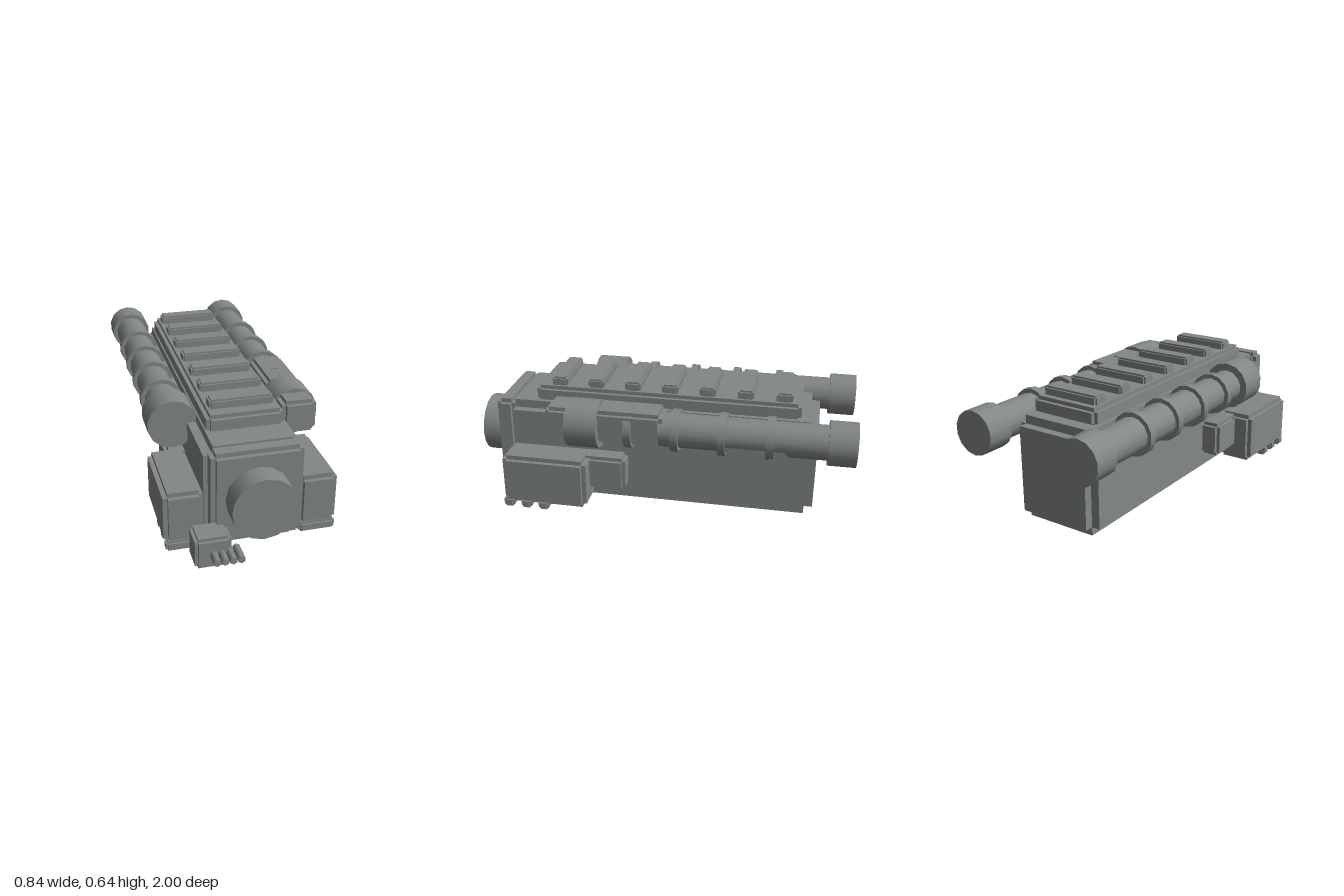
import * as THREE from 'three';

const color = 0x828885;
const flat = new THREE.MeshStandardMaterial({ color, flatShading: true });
const smooth = new THREE.MeshStandardMaterial({ color });

function add(parent, name, geometry, material, x, y, z) {
  const mesh = new THREE.Mesh(geometry, material);
  mesh.name = name;
  mesh.position.set(x, y, z);
  parent.add(mesh);
}

// Box with stepped edges: three crossed slabs, each long along one axis.
function steppedBox(parent, name, [x0, x1], [y0, y1], [z0, z1], step) {
  const group = new THREE.Group();
  group.name = name;
  group.position.set((x0 + x1) / 2, (y0 + y1) / 2, (z0 + z1) / 2);
  const size = [x1 - x0, y1 - y0, z1 - z0];
  for (let axis = 0; axis < 3; axis++) {
    const s = size.map((v, i) => (i === axis ? v : v - 2 * step));
    add(group, name + 'Slab', new THREE.BoxGeometry(...s), flat, 0, 0, 0);
  }
  parent.add(group);
}

// Smooth cylinder lying along z.
function tube(parent, name, radius, sides, x, y, z0, z1) {
  const geometry = new THREE.CylinderGeometry(radius, radius, z1 - z0, sides).rotateX(Math.PI / 2);
  add(parent, name, geometry, smooth, x, y, (z0 + z1) / 2);
}

export function createModel() {
  const model = new THREE.Group();
  model.name = 'model';

  // Main hull, front head plate and round nose
  steppedBox(model, 'hull', [-0.23, 0.23], [0, 0.515], [-0.82, 0.775], 0.043);
  steppedBox(model, 'headPlate', [-0.214, 0.214], [0.06, 0.516], [0.73, 0.828], 0.022);
  tube(model, 'nose', 0.152, 16, 0, 0.287, 0.8, 0.94);

  // Roof rail with seven cross ribs
  steppedBox(model, 'roofRail', [-0.183, 0.183], [0.505, 0.596], [-0.73, 0.615], 0.019);
  for (let i = 0; i < 7; i++) {
    const z = 0.497 - i * 0.19;
    steppedBox(model, 'roofRib', [-0.152, 0.152], [0.585, 0.638], [z - 0.04, z + 0.04], 0.009);
  }

  // Small connector block with four hexagonal pins
  steppedBox(model, 'connectorBlock', [-0.313, -0.147], [0.012, 0.165], [0.79, 0.932], 0.015);
  for (let i = 0; i < 4; i++) {
    tube(model, 'connectorPin', 0.018, 6, -0.231 + i * 0.0365, 0.087, 0.9, 1);
  }

  for (const side of [1, -1]) {
    const span = (a, b) => (side > 0 ? [a, b] : [-b, -a]);

    // Lower side pod, its rear block and feet
    steppedBox(model, 'sidePod', span(0.228, 0.416), [0.033, 0.294], [0.31, 0.745], 0.022);
    steppedBox(model, 'podRearBlock', span(0.17, 0.325), [0.105, 0.285], [0.127, 0.36], 0.018);
    for (const z of [0.725, 0.632, 0.54]) {
      steppedBox(model, 'podFoot', span(0.232, 0.41), [0, 0.05], [z - 0.027, z + 0.027], 0.01);
    }

    // Long side tube with end caps and clamp rings
    const x = side * 0.3, y = 0.47;
    tube(model, 'sideTube', 0.085, 14, x, y, -0.9, 0.3);
    tube(model, 'tubeFrontCap', 0.122, 14, x, y, 0.243, 0.405);
    tube(model, 'tubeRearCap', 0.108, 14, x, y, -1, -0.865);
    for (let i = 0; i < 4; i++) {
      const z = 0.095 - i * 0.23;
      tube(model, 'clampRing', 0.106, 14, x, y, z - 0.019, z + 0.019);
    }
  }

  // Long block running through the front of the left tube
  steppedBox(model, 'tubeBlock', [0.213, 0.383], [0.402, 0.57], [-0.075, 0.51], 0.02);

  // Bar and rounded catch under the rear of the left tube
  add(model, 'catchBar', new THREE.BoxGeometry(0.15, 0.026, 0.29), flat, 0.3, 0.421, -0.525);
  const roller = new THREE.CylinderGeometry(0.05, 0.05, 0.136, 12).rotateZ(Math.PI / 2);
  add(model, 'catchRoller', roller, smooth, 0.298, 0.415, -0.635);

  return model;
}
